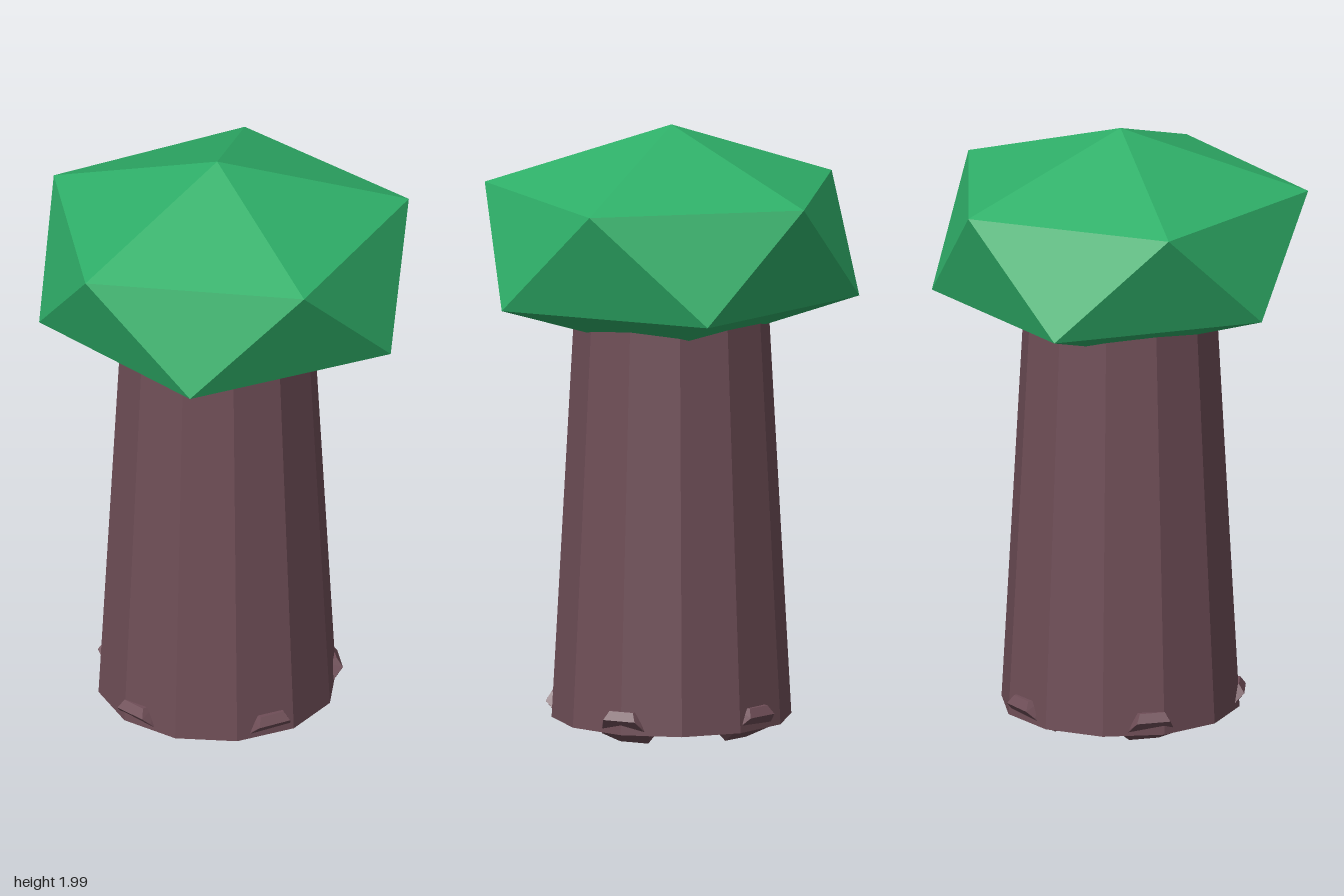
import * as THREE from 'three';
import { ConvexGeometry } from 'three/addons/geometries/ConvexGeometry.js';

const TRUNK_X = -0.025;

export function createModel() {
  const tree = new THREE.Group();
  tree.name = 'tree';

  const bark = new THREE.MeshStandardMaterial({ color: 0x6f4e57, flatShading: true });
  bark.name = 'bark brown';
  const leaf = new THREE.MeshStandardMaterial({ color: 0x2fb069, flatShading: true });
  leaf.name = 'leaf green';

  const add = (parent, name, geometry, material) => {
    const mesh = new THREE.Mesh(geometry, material);
    mesh.name = name;
    parent.add(mesh);
    return mesh;
  };

  // Trunk: twelve-sided, tapering up into the canopy
  const trunk = add(tree, 'trunk', new THREE.CylinderGeometry(0.312, 0.39, 1.42, 12), bark);
  trunk.position.set(TRUNK_X, 0.052 + 0.71, 0);

  // Canopy: slightly uneven twenty-sided crown
  const crown = [
    [-0.025, 2, 0],
    [0.605, 1.8, 0], [0.163, 1.797, 0.58], [-0.518, 1.795, 0.357], [-0.503, 1.795, -0.35], [0.16, 1.793, -0.56],
    [0.483, 1.442, 0.37], [-0.21, 1.453, 0.568], [-0.61, 1.455, 0], [-0.215, 1.45, -0.583], [0.47, 1.442, -0.36],
    [-0.015, 1.245, 0],
  ].map((p) => new THREE.Vector3(...p));
  add(tree, 'canopy', new ConvexGeometry(crown), leaf);

  // Roots: five small wedges poking out of the side and base; profile is radius, height, half width
  const profile = [
    [0.255, 0.052, 0.075], [0.285, 0.01, 0.05], [0.35, 0.045, 0.085],
    [0.38, 0.078, 0.07], [0.404, 0.1, 0.056], [0.386, 0.128, 0.042], [0.33, 0.128, 0.05],
  ];
  const rootPoints = profile.flatMap(([r, y, w]) => [new THREE.Vector3(r, y, w), new THREE.Vector3(r, y, -w)]);
  const rootGeometry = new ConvexGeometry(rootPoints);
  const roots = new THREE.Group();
  roots.name = 'roots';
  roots.position.x = TRUNK_X;
  for (let i = 0; i < 5; i++) {
    add(roots, `root${i + 1}`, rootGeometry, bark).rotation.y = (i * Math.PI * 2) / 5;
  }
  tree.add(roots);

  return tree;
}
